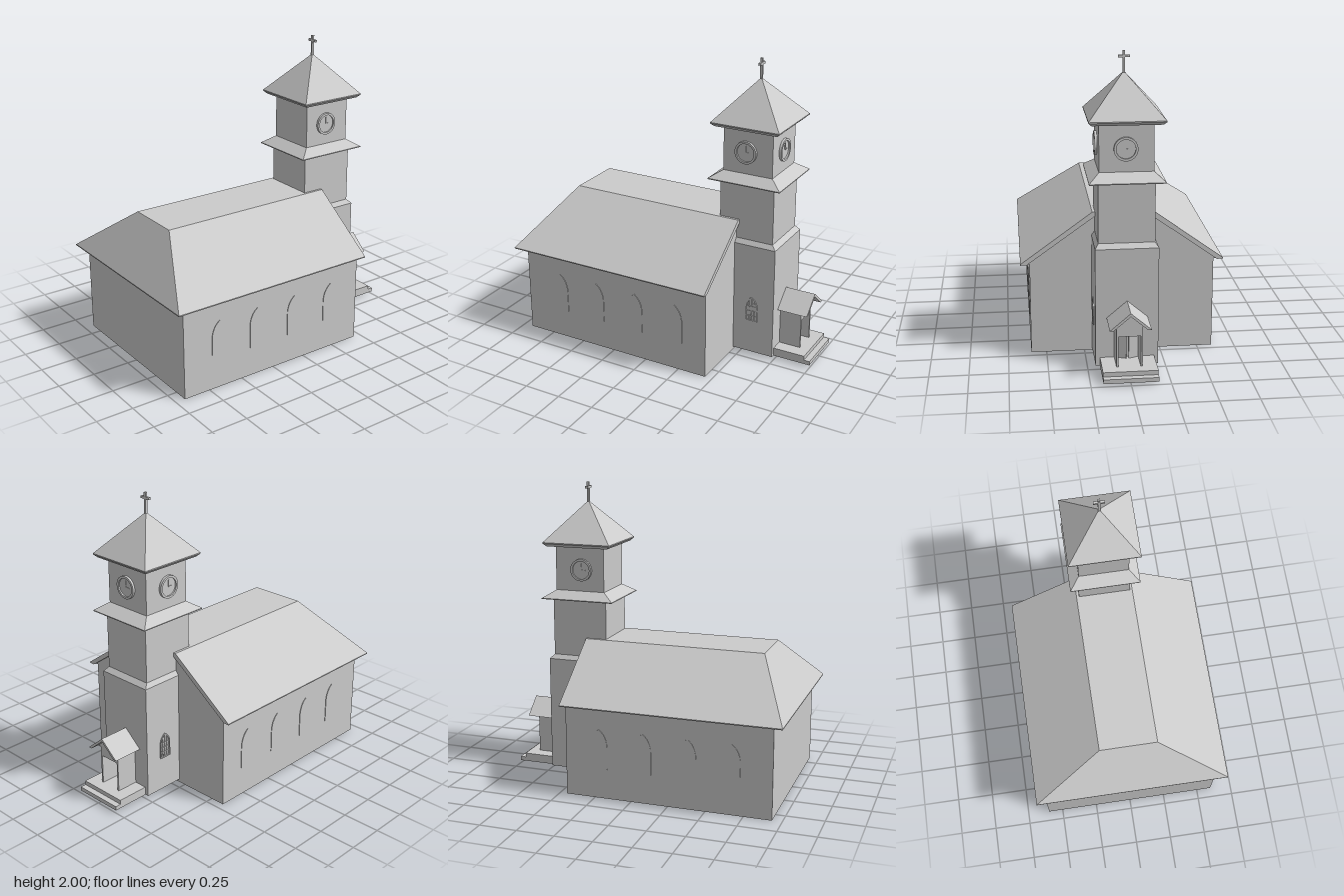
import * as THREE from 'three';

const grey = new THREE.MeshStandardMaterial({ color: 0xcccccc, flatShading: true, side: THREE.DoubleSide });

export function createModel() {
  const church = new THREE.Group();
  church.name = 'church';

  function add(name, geometry, parent = church) {
    const mesh = new THREE.Mesh(geometry, grey);
    mesh.name = name;
    parent.add(mesh);
    return mesh;
  }

  // Closed solid through stacked rectangles [y, x0, x1, half depth]
  function loft(name, sections, parent) {
    const pos = [], idx = [], n = sections.length;
    for (const [y, x0, x1, d] of sections) pos.push(x0, y, d, x1, y, d, x1, y, -d, x0, y, -d);
    for (let s = 0; s < n - 1; s++) {
      for (let i = 0; i < 4; i++) {
        const a = s * 4 + i, b = s * 4 + (i + 1) % 4;
        idx.push(a, b, b + 4, a, b + 4, a + 4);
      }
    }
    const t = (n - 1) * 4;
    idx.push(0, 2, 1, 0, 3, 2, t, t + 1, t + 2, t, t + 2, t + 3);
    const g = new THREE.BufferGeometry();
    g.setAttribute('position', new THREE.Float32BufferAttribute(pos, 3));
    g.setIndex(idx);
    const flat = g.toNonIndexed();
    flat.computeVertexNormals();
    return add(name, flat, parent);
  }

  function box(name, x0, x1, y0, y1, z0, z1, parent) {
    const g = new THREE.BoxGeometry(x1 - x0, y1 - y0, z1 - z0);
    g.translate((x0 + x1) / 2, (y0 + y1) / 2, (z0 + z1) / 2);
    return add(name, g, parent);
  }

  // Profile of [z, y] points, symmetric in z, swept along x
  function sweepX(name, points, x0, x1) {
    const shape = new THREE.Shape(points.map(([z, y]) => new THREE.Vector2(z, y)));
    const g = new THREE.ExtrudeGeometry(shape, { depth: x1 - x0, bevelEnabled: false });
    g.rotateY(Math.PI / 2);
    g.translate(x0, 0, 0);
    return add(name, g);
  }

  // Pointed arch outline standing on y = 0
  function arch(w, h, Type = THREE.Shape, y0 = 0) {
    const s = new Type(), r = w / 2, spring = y0 + h * 0.62;
    s.moveTo(-r, y0);
    s.lineTo(r, y0);
    s.lineTo(r, spring);
    s.quadraticCurveTo(r * 0.85, y0 + h * 0.88, 0, y0 + h);
    s.quadraticCurveTo(-r * 0.85, y0 + h * 0.88, -r, spring);
    s.lineTo(-r, y0);
    return s;
  }
  const extrude = (shape, depth) =>
    new THREE.ExtrudeGeometry(shape, { depth, bevelEnabled: false, curveSegments: 5 });

  // Nave: walls with a floor set slightly above the ground
  loft('naveWalls', [[0.02, -0.935, 0.45, 0.6], [0.63, -0.935, 0.45, 0.6]]);
  for (const s of [-1, 1]) box('plinthSide', -0.935, 0.45, 0, 0.02, s * 0.59 - 0.01, s * 0.59 + 0.01);
  box('plinthBack', -0.935, -0.915, 0, 0.02, -0.58, 0.58);
  box('plinthFront', 0.43, 0.45, 0, 0.02, -0.58, 0.58);
  box('chancelEdge', -0.555, -0.545, 0.012, 0.02, -0.58, 0.58);
  for (let i = 0; i < 5; i++) {
    for (const z of [-0.36, -0.13, 0.13, 0.36]) {
      const x = 0.32 - i * 0.17;
      box('pewFoot', x - 0.02, x + 0.02, 0.005, 0.02, z - 0.006, z + 0.006);
    }
  }

  // Roof: hipped at the back, flat along the top, overhanging verge at the front
  loft('naveRoof', [[0.615, -1, 0.45, 0.66], [0.622, -1, 0.45, 0.66], [0.96, -0.77, 0.45, 0.195]]);
  sweepX('roofVerge', [
    [-0.66, 0.615], [-0.62, 0.615], [-0.18, 0.93], [0.18, 0.93], [0.62, 0.615],
    [0.66, 0.615], [0.66, 0.622], [0.195, 0.96], [-0.195, 0.96], [-0.66, 0.622],
  ], 0.45, 0.47);

  // Nave windows, four on each long side
  for (const s of [-1, 1]) {
    for (const x of [-0.67, -0.38, -0.08, 0.22]) {
      const pane = add('naveWindow', extrude(arch(0.115, 0.27), 0.004));
      pane.position.set(x, 0.2, s * 0.6);
      if (s < 0) pane.rotation.y = Math.PI;
    }
  }

  // Tower shaft, skirt roof, belfry and spire
  loft('towerShaft', [
    [0.022, 0.33, 0.74, 0.2], [0.8, 0.33, 0.74, 0.2],
    [0.83, 0.33, 0.71, 0.178], [1.23, 0.33, 0.71, 0.178],
  ]);
  loft('skirtRoof', [[1.222, 0.265, 0.772, 0.237], [1.228, 0.265, 0.772, 0.237], [1.28, 0.345, 0.69, 0.17]]);
  loft('belfry', [[1.275, 0.345, 0.69, 0.17], [1.59, 0.345, 0.69, 0.17]]);
  loft('spire', [
    [1.58, 0.302, 0.735, 0.217], [1.6, 0.28, 0.757, 0.237],
    [1.607, 0.28, 0.757, 0.237], [1.868, 0.513, 0.523, 0.005],
  ]);
  box('crossPost', 0.51, 0.526, 1.85, 2, -0.007, 0.007);
  box('crossArm', 0.51, 0.526, 1.957, 1.972, -0.036, 0.036);

  // Clocks on three belfry faces
  function clock(x, z, turn) {
    const g = new THREE.Group();
    g.name = 'clock';
    const ring = new THREE.Shape().absarc(0, 0, 0.075, 0, Math.PI * 2);
    ring.holes.push(new THREE.Path().absarc(0, 0, 0.06, 0, Math.PI * 2, true));
    add('clockRim', new THREE.ExtrudeGeometry(ring, { depth: 0.016, bevelEnabled: false, curveSegments: 24 }), g);
    const face = new THREE.CylinderGeometry(0.061, 0.061, 0.006, 32);
    face.rotateX(Math.PI / 2);
    face.translate(0, 0, 0.003);
    add('clockFace', face, g);
    box('minuteHand', -0.003, 0.003, 0, 0.045, 0.006, 0.01, g);
    box('hourHand', 0, 0.03, -0.003, 0.003, 0.006, 0.01, g);
    g.position.set(x, 1.425, z);
    g.rotation.y = turn;
    church.add(g);
  }
  clock(0.505, 0.17, 0);
  clock(0.505, -0.17, Math.PI);
  clock(0.69, 0.005, Math.PI / 2);

  // Latticed lancet windows on both sides of the tower
  for (const s of [-1, 1]) {
    const g = new THREE.Group();
    g.name = 'towerWindow';
    const frame = arch(0.086, 0.178);
    frame.holes.push(arch(0.07, 0.16, THREE.Path, 0.008));
    add('windowFrame', extrude(frame, 0.007), g);
    for (const x of [-0.018, 0, 0.018]) {
      box('mullion', x - 0.002, x + 0.002, 0.005, x ? 0.148 : 0.168, 0, 0.005, g);
    }
    for (const y of [0.04, 0.075, 0.11]) box('glazingBar', -0.037, 0.037, y - 0.002, y + 0.002, 0, 0.005, g);
    g.position.set(0.582, 0.253, s * 0.2);
    if (s < 0) g.rotation.y = Math.PI;
    church.add(g);
  }

  // Porch: steps, thin side walls, lintel, gabled roof and doors
  box('lowerStep', 0.738, 1, 0.02, 0.048, -0.173, 0.173);
  box('upperStep', 0.738, 0.96, 0.048, 0.077, -0.173, 0.173);
  for (const s of [-1, 1]) box('porchWall', 0.738, 0.89, 0.077, 0.345, s * 0.076 - 0.006, s * 0.076 + 0.006);
  box('porchLintel', 0.738, 0.89, 0.28, 0.345, -0.07, 0.07);
  sweepX('porchGable', [[-0.11, 0.345], [0.11, 0.345], [0, 0.438]], 0.738, 0.89);
  sweepX('porchRoof', [
    [-0.13, 0.345], [-0.105, 0.345], [0, 0.435], [0.105, 0.345], [0.13, 0.345], [0, 0.456],
  ], 0.738, 0.948);
  for (const s of [-1, 1]) {
    const leaf = box('doorLeaf', 0, 0.006, 0.077, 0.27, s > 0 ? -0.064 : 0, s > 0 ? 0 : 0.064);
    leaf.position.set(0.742, 0, s * 0.066);
    leaf.rotation.y = -s * 0.35;
  }
  return church;
}
